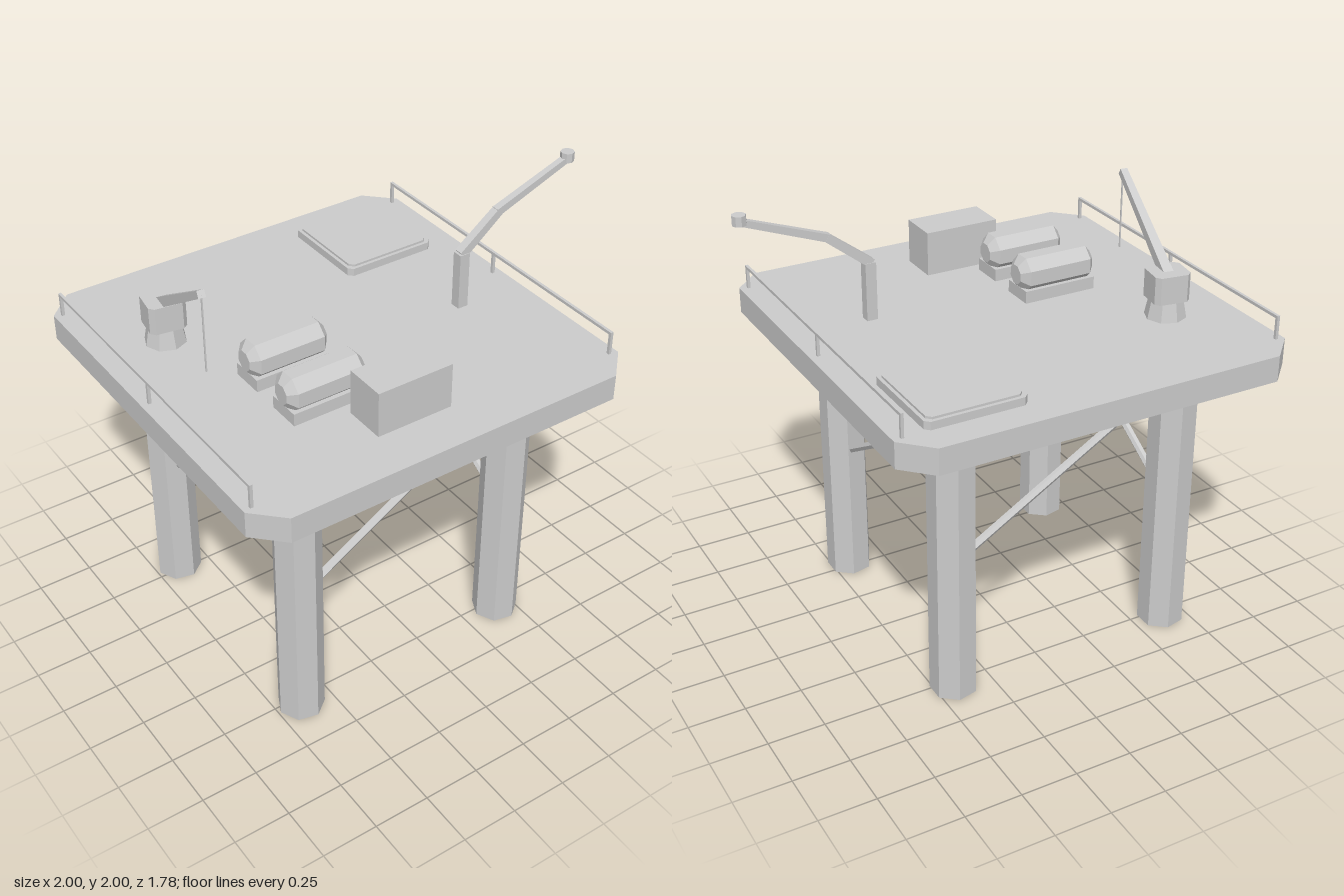
import * as THREE from 'three';

const steel = new THREE.MeshStandardMaterial({ color: 0xcccccc });
steel.name = 'light grey steel';

export function createModel() {
  const model = new THREE.Group();
  model.name = 'offshorePlatform';

  // Adds a faceted mesh
  function add(name, geometry, x = 0, y = 0, z = 0, parent = model) {
    const flat = geometry.index ? geometry.toNonIndexed() : geometry;
    flat.computeVertexNormals();
    const mesh = new THREE.Mesh(flat, steel);
    mesh.name = name;
    mesh.position.set(x, y, z);
    parent.add(mesh);
    return mesh;
  }

  const box = (name, w, h, d, x, y, z) => add(name, new THREE.BoxGeometry(w, h, d), x, y, z);

  // Prism between two points; r0 and r1 are the end radii
  function beam(name, a, b, r0, r1 = r0, sides = 4) {
    const from = new THREE.Vector3(...a), to = new THREE.Vector3(...b);
    const g = new THREE.CylinderGeometry(r1, r0, from.distanceTo(to), sides);
    g.rotateY(Math.PI / sides);
    g.rotateX(Math.PI / 2);
    const mid = from.clone().add(to).multiplyScalar(0.5);
    const mesh = add(name, g, mid.x, mid.y, mid.z);
    mesh.lookAt(to);
    return mesh;
  }

  // Upright slab with cut corners, standing on y = 0
  function slab(w, d, h, cut, bevel = 0) {
    const a = w / 2 - bevel, b = d / 2 - bevel;
    const s = new THREE.Shape([
      [-a + cut, -b], [a - cut, -b], [a, -b + cut], [a, b - cut],
      [a - cut, b], [-a + cut, b], [-a, b - cut], [-a, -b + cut],
    ].map(p => new THREE.Vector2(...p)));
    const g = new THREE.ExtrudeGeometry(s, {
      depth: h - 2 * bevel, bevelEnabled: bevel > 0,
      bevelSize: bevel, bevelThickness: bevel, bevelSegments: 1,
    });
    g.translate(0, 0, bevel);
    g.rotateX(-Math.PI / 2);
    return g;
  }

  // Deck
  const cx = -0.112, top = 1.41;
  add('deck', slab(1.775, 1.78, 0.115, 0.12), cx, 1.295, 0);

  // Seven-sided legs, with one diagonal brace along each side
  const xs = [-0.6375, 0.4175], lz = 0.53;
  for (const x of xs) for (const z of [-lz, lz]) {
    const g = new THREE.CylinderGeometry(0.1025, 0.1025, 1.295, 7, 1, false, -Math.PI / 2);
    add('leg', g, x, 0.6475, z);
  }
  const corners = [[xs[0], lz], [xs[1], lz], [xs[1], -lz], [xs[0], -lz]];
  corners.forEach(([x, z], i) => {
    const [nx, nz] = corners[(i + 1) % 4];
    beam('brace', [x, 0.615, z], [nx, 1.245, nz], 0.018, 0.018, 6);
  });

  // Side railings
  for (const x of [-0.963, 0.737]) {
    box('railing', 0.013, 0.013, 1.525, x, 1.508, 0);
    for (const z of [-0.756, 0, 0.756]) box('railPost', 0.013, 0.1, 0.013, x, 1.457, z);
  }

  // Landing pad with a slightly inset top
  add('landingPad', slab(0.44, 0.44, 0.035, 0.02), 0.42, top, -0.538);
  add('landingPadTop', slab(0.41, 0.41, 0.012, 0.02), 0.42, 1.443, -0.538);

  // Storage tanks on cradles
  const tankProfile = [[0, -0.18], [0.045, -0.18], [0.084, -0.148], [0.084, 0.148], [0.045, 0.18], [0, 0.18]]
    .map(p => new THREE.Vector2(...p));
  for (const z of [0.102, 0.37]) {
    const g = new THREE.LatheGeometry(tankProfile, 8);
    g.rotateY(Math.PI / 8);
    g.rotateZ(Math.PI / 2);
    add('tank', g, -0.41, 1.52, z);
    box('tankCradle', 0.34, 0.055, 0.15, -0.41, 1.4375, z);
  }

  // Equipment housing
  box('equipmentHousing', 0.345, 0.2, 0.185, -0.182, 1.51, 0.588);

  // Crane
  add('cranePedestal', new THREE.CylinderGeometry(0.072, 0.09, 0.09, 8), -0.697, 1.455, -0.35);
  const cab = add('craneCab', slab(0.16, 0.145, 0.122, 0.02), -0.697, 1.492, -0.35);
  cab.rotation.y = -0.15;
  beam('craneBoom', [-0.695, 1.595, -0.35], [-0.76, 1.893, 0.105], 0.032, 0.022);
  beam('craneCable', [-0.76, 1.89, 0.105], [-0.76, 1.54, 0.105], 0.004);

  // Flare boom
  const fz = 0.16;
  box('flarePost', 0.048, 0.255, 0.046, 0.43, 1.5675, fz);
  beam('flareLowerArm', [0.422, 1.69, fz], [0.612, 1.838, fz], 0.028, 0.025);
  beam('flareUpperArm', [0.6, 1.833, fz], [0.955, 1.965, fz], 0.024, 0.02);
  add('flareTip', new THREE.CylinderGeometry(0.03, 0.03, 0.042, 8), 0.968, 1.979, fz);

  return model;
}
